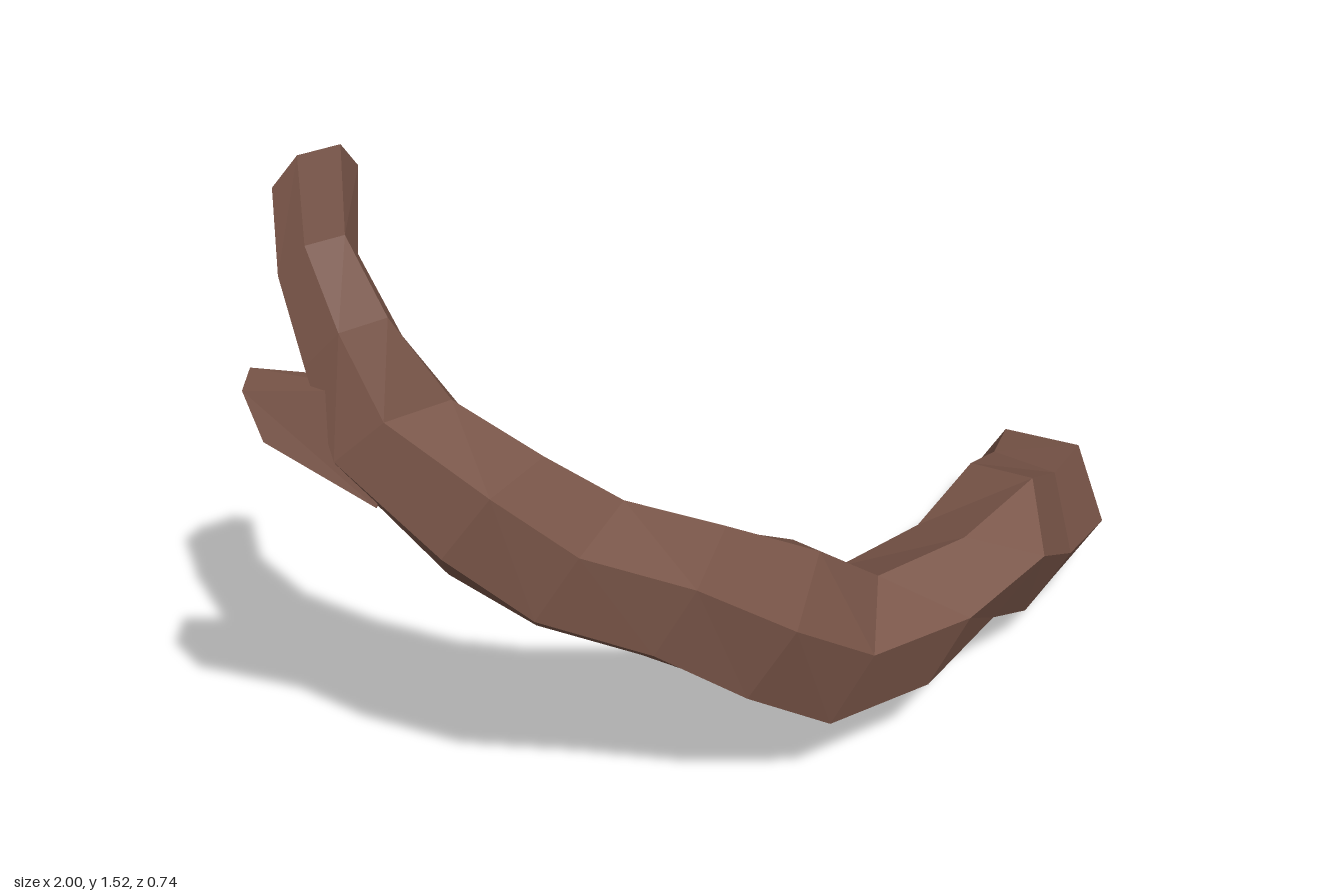
import * as THREE from 'three';

const bark = new THREE.MeshStandardMaterial({ color: 0x795548, flatShading: true });
const cutWood = new THREE.MeshStandardMaterial({ color: 0xd2ab6f, flatShading: true });

// Trunk sections from thick end to tip: centre, then offsets to two neighbouring corners of a hexagon
const sections = [
  [[0.905, 0.15, -0.22], [0.085, 0.01, 0.15], [0.095, 0.14, 0.04]],
  [[0.74, 0.22, -0.07], [0.04, 0.02, 0.16], [0.08, 0.14, 0.04]],
  [[0.57, 0.33, 0.06], [0.03, 0.045, 0.17], [0.09, 0.14, 0.04]],
  [[0.37, 0.29, 0.14], [0, 0.06, 0.16], [0.07, 0.155, 0.035]],
  [[0.135, 0.3, 0.175], [-0.015, 0.075, 0.16], [0.075, 0.155, 0.035]],
  [[-0.04, 0.45, 0.215], [-0.04, 0.075, 0.155], [0.08, 0.15, 0.045]],
  [[-0.235, 0.585, 0.22], [-0.045, 0.09, 0.125], [0.075, 0.135, 0.03]],
  [[-0.435, 0.7, 0.19], [-0.06, 0.095, 0.11], [0.075, 0.13, 0.035]],
  [[-0.58, 0.83, 0.15], [-0.06, 0.11, 0.1], [0.08, 0.12, 0.04]],
  [[-0.72, 1.0, 0.08], [-0.065, 0.09, 0.07], [0.08, 0.075, 0.04]],
  [[-0.785, 1.18, 0.045], [-0.045, 0.07, 0.045], [0.05, 0.07, 0.04]],
  [[-0.81, 1.325, -0.02], [-0.035, 0.06, 0.03], [0.04, 0.06, 0.03]],
  [[-0.79, 1.475, -0.05], [-0.04, 0.06, 0.023], [0.04, 0.06, 0.023]],
];

// The six corners are u, v, v-u and their opposites
function hexRing([c, u, v]) {
  const weights = [[1, 0], [0, 1], [-1, 1], [-1, 0], [0, -1], [1, -1]];
  return weights.map(([a, b]) => c.map((n, k) => n + a * u[k] + b * v[k]));
}

function facesMesh(name, triangles, material) {
  const geometry = new THREE.BufferGeometry();
  geometry.setAttribute('position', new THREE.Float32BufferAttribute(triangles.flat(2), 3));
  geometry.computeVertexNormals();
  const mesh = new THREE.Mesh(geometry, material);
  mesh.name = name;
  return mesh;
}

// Flat polygon closing a ring
function fan(ring) {
  const triangles = [];
  for (let i = 1; i < ring.length - 1; i++) triangles.push([ring[0], ring[i], ring[i + 1]]);
  return triangles;
}

// Skin between successive rings, with the start closed
function skin(rings) {
  const triangles = fan([...rings[0]].reverse());
  for (let k = 0; k < rings.length - 1; k++) {
    const near = rings[k], far = rings[k + 1];
    near.forEach((p, i) => {
      const j = (i + 1) % near.length;
      triangles.push([p, near[j], far[j]], [p, far[j], far[i]]);
    });
  }
  return triangles;
}

function limb(name, rings) {
  const group = new THREE.Group();
  group.name = name;
  group.add(facesMesh(name + 'Bark', skin(rings), bark));
  group.add(facesMesh(name + 'CutEnd', fan(rings[rings.length - 1]), cutWood));
  return group;
}

export function createModel() {
  const model = new THREE.Group();
  model.name = 'branch';
  model.add(limb('mainLimb', sections.map(hexRing)));

  // Short side twig, rooted inside the main limb
  model.add(limb('sideTwig', [
    [[-0.72, 1.1, 0.04], [-0.72, 0.92, 0.05], [-0.8, 0.91, 0.13], [-0.76, 1.12, 0.1]],
    [[-0.95, 1.165, -0.02], [-0.93, 1.07, 0], [-0.98, 1.08, 0.085], [-1.0, 1.175, 0.06]],
  ]));
  return model;
}
